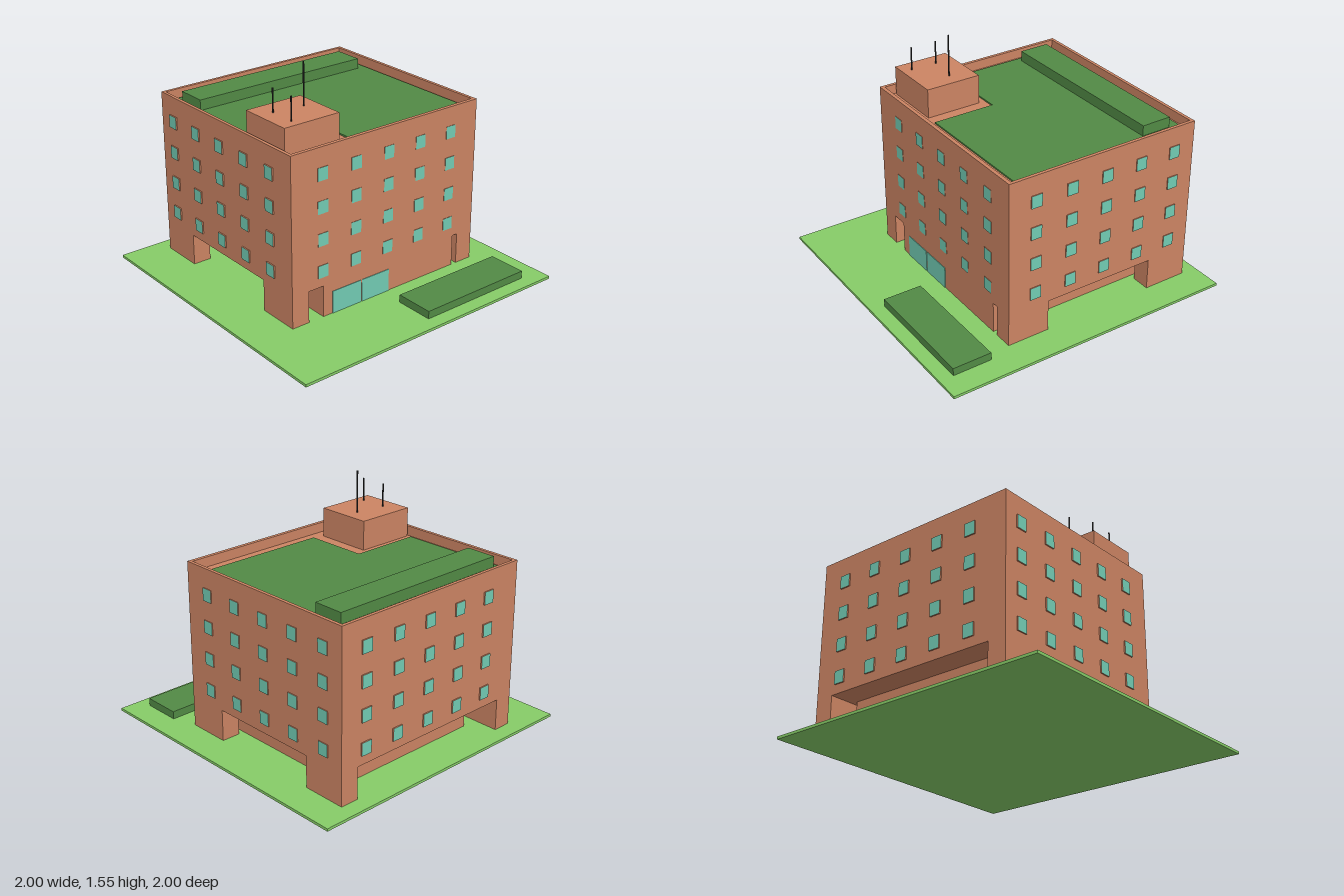
import * as THREE from 'three';

const mat = (color) => new THREE.MeshStandardMaterial({ color });

export function createModel() {
  const group = new THREE.Group();
  const brick = mat(0xcc8463), glass = mat(0x72ccb4), grass = mat(0x86cc68);
  const hedge = mat(0x528a45), metal = mat(0x2a2a2a);

  const add = (name, geometry, material, parent = group) => {
    const mesh = new THREE.Mesh(geometry, material);
    mesh.name = name;
    parent.add(mesh);
    return mesh;
  };
  // Box given by its limits on each axis
  const block = (name, [x0, x1], [y0, y1], [z0, z1], material) => {
    const mesh = add(name, new THREE.BoxGeometry(x1 - x0, y1 - y0, z1 - z0), material);
    mesh.position.set((x0 + x1) / 2, (y0 + y1) / 2, (z0 + z1) / 2);
    return mesh;
  };
  // Flat plan outline in (x, z), raised from y0 to y1
  const toPlan = (points) => points.map(([x, z]) => new THREE.Vector2(x, -z));
  const slab = (name, outline, hole, y0, y1, material) => {
    const shape = new THREE.Shape(toPlan(outline));
    if (hole) shape.holes.push(new THREE.Path(toPlan(hole)));
    const geometry = new THREE.ExtrudeGeometry(shape, { depth: y1 - y0, bevelEnabled: false });
    geometry.rotateX(-Math.PI / 2);
    return add(name, geometry, material).position.y = y0;
  };
  const rect = (x0, x1, z0, z1) => [[x0, z1], [x1, z1], [x1, z0], [x0, z0]];

  const X0 = -0.695, X1 = 0.787, Z0 = -0.89, Z1 = 0.48;
  const floorY = 0.23, roofY = 1.08, groundY = 0.018;

  // Site
  block('ground', [-1, 1], [0, groundY], [-1, 1], grass);
  block('gardenHedge', [0.02, 0.84], [groundY, 0.07], [0.64, 0.905], hedge);

  // Ground floor: recessed core and four corner piers
  block('groundFloorCore', [-0.46, 0.62], [groundY, floorY], [-0.72, Z1], brick);
  for (const x of [[X0, -0.57], [0.66, X1]])
    for (const z of [[Z0, -0.59], [0.19, Z1]])
      block('cornerPier', x, [groundY, floorY], z, brick);
  for (const x of [[-0.388, -0.165], [-0.155, 0.065]])
    block('entranceDoor', x, [groundY, 0.17], [Z1 - 0.01, Z1 + 0.004], glass);

  // Upper storeys and parapet
  block('upperStoreys', [X0, X1], [floorY, roofY], [Z0, Z1], brick);
  slab('parapet', rect(X0, X1, Z0, Z1), rect(X0 + 0.022, X1 - 0.022, Z0 + 0.022, Z1 - 0.025),
    roofY, 1.145, brick);

  // Roof garden with a notch for the plant room
  slab('roofGarden', [[-0.17, 0.385], [0.745, 0.385], [0.745, -0.848], [-0.648, -0.848],
    [-0.648, -0.04], [-0.17, -0.04]], null, roofY, 1.09, hedge);
  block('roofHedge', [-0.61, 0.685], [1.085, 1.16], [-0.775, -0.567], hedge);
  block('plantRoom', [-0.66, -0.256], [roofY, 1.275], [0.005, 0.38], brick);
  for (const [x, z, top] of [[-0.56, 0.137, 1.43], [-0.56, 0.315, 1.43], [-0.353, 0.165, 1.555]]) {
    const mast = add('antenna', new THREE.CylinderGeometry(0.005, 0.005, top - 1.27, 8), metal);
    mast.position.set(x, (top + 1.27) / 2, z);
  }

  // Windows: shallow brick surround with a glass face, five by four on every side
  const surround = new THREE.BoxGeometry(0.076, 0.084, 0.04);
  const pane = new THREE.PlaneGeometry(0.076, 0.084);
  // [name, first column, wall plane, projection, turn about y]
  const sides = [
    ['frontWindow', -0.462, Z1, 0.004, 0],
    ['backWindow', -0.431, Z0, 0.010, Math.PI],
    ['leftWindow', -0.738, X1, 0.007, Math.PI / 2],
    ['rightWindow', -0.756, X0, 0.010, -Math.PI / 2],
  ];
  for (const [name, first, wall, out, turn] of sides) {
    for (let col = 0; col < 5; col++) {
      for (let row = 0; row < 4; row++) {
        const win = new THREE.Group();
        win.name = name;
        const along = first + col * 0.257, face = wall + Math.sign(wall) * out;
        const alongX = turn === 0 || turn === Math.PI;
        win.position.set(alongX ? along : face, 0.334 + row * 0.2135, alongX ? face : along);
        win.rotation.y = turn;
        add('surround', surround, brick, win).position.z = -0.021;
        add('pane', pane, glass, win);
        group.add(win);
      }
    }
  }
  return group;
}
